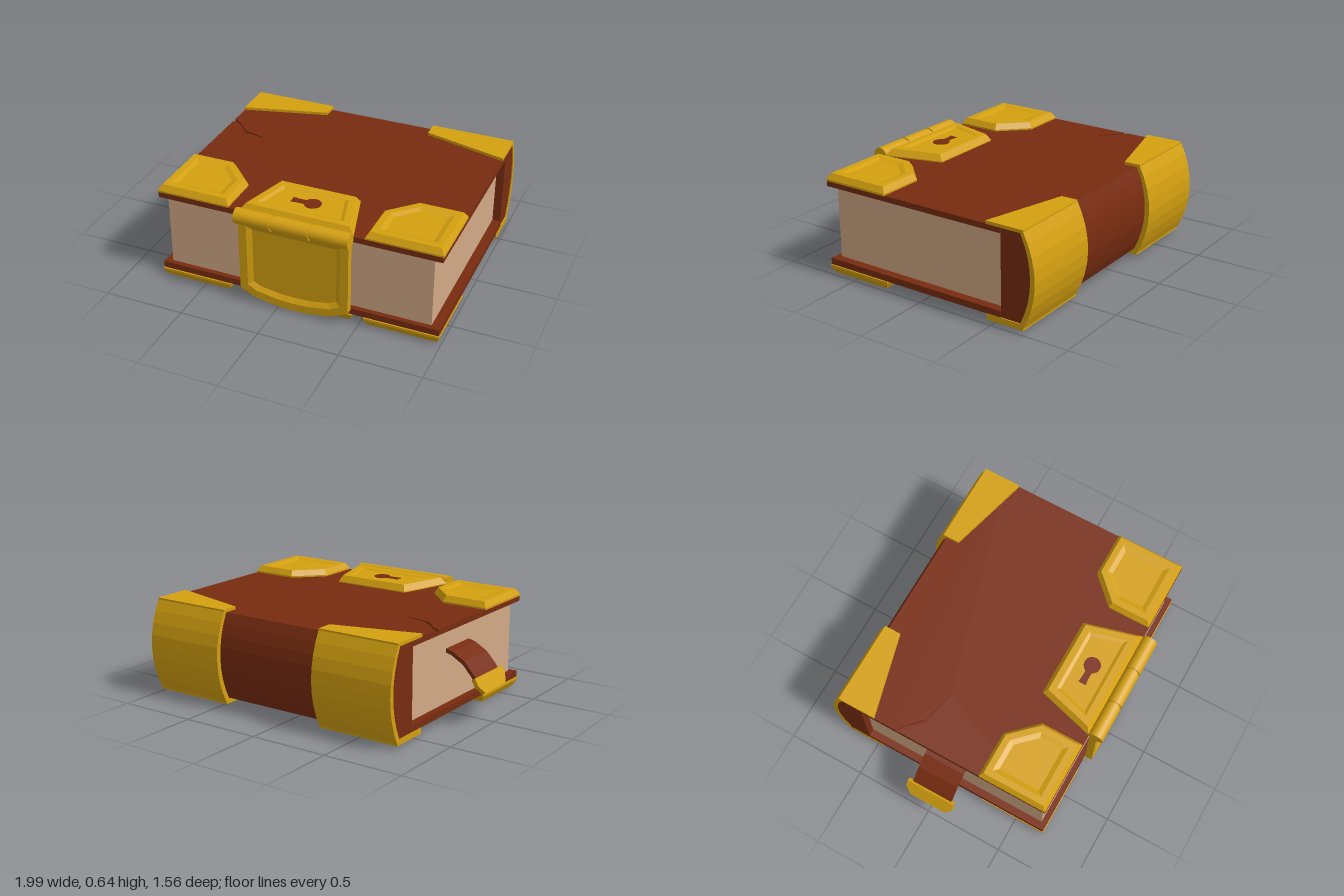
import * as THREE from 'three';

const mat = (name, color) => {
  const m = new THREE.MeshStandardMaterial({ color });
  m.name = name;
  return m;
};

export function createModel() {
  const book = new THREE.Group();
  book.name = 'book';
  const gold = mat('gold', 0xd4a010);
  const leather = mat('leather', 0x782c10);
  const paper = mat('paper', 0xd2a985);
  const X0 = -0.78, X1 = 0.985, MID = 0.1025;

  const add = (name, geo, material) => {
    const m = new THREE.Mesh(geo, material);
    m.name = name;
    book.add(m);
    return m;
  };
  const box = (name, material, x0, x1, y0, y1, z0, z1) =>
    add(name, new THREE.BoxGeometry(x1 - x0, y1 - y0, z1 - z0)
      .translate((x0 + x1) / 2, (y0 + y1) / 2, (z0 + z1) / 2), material);
  const extrude = (pts, depth) => new THREE.ExtrudeGeometry(
    new THREE.Shape(pts.map(p => new THREE.Vector2(...p))),
    { depth, bevelEnabled: false });
  // horizontal slab from [x, z] points
  const slab = (name, material, pts, y, h) =>
    add(name, extrude(pts.map(([x, z]) => [x, -z]), h).rotateX(-Math.PI / 2).translate(0, y, 0), material);
  // profile of [z, y] points swept along x
  const sweepX = (name, material, pts, x0, x1) =>
    add(name, extrude(pts.map(([z, y]) => [-z, y]), x1 - x0).rotateY(Math.PI / 2).translate(x0, 0, 0), material);

  // convex polygon moved inwards by d
  const inset = (pts, d) => pts.map((p, i) => {
    const n = pts.length, a = pts[(i + n - 1) % n], b = pts[(i + 1) % n];
    const e = new THREE.Vector2(p[0] - a[0], p[1] - a[1]).normalize();
    const f = new THREE.Vector2(b[0] - p[0], b[1] - p[1]).normalize();
    const k = d / (1 + e.dot(f));
    return [p[0] - (e.y + f.y) * k, p[1] + (e.x + f.x) * k];
  });
  // stepped plate: each level is [inset, height]
  const plateGeo = (outline, levels) => {
    const pts = THREE.ShapeUtils.area(outline.map(p => new THREE.Vector2(...p))) < 0
      ? outline.slice().reverse() : outline;
    const loops = levels.map(([d, h]) => inset(pts, d).map(p => [...p, h]));
    const n = pts.length, pos = [];
    const tri = (a, b, c) => pos.push(...a, ...b, ...c);
    for (let l = 0; l + 1 < loops.length; l++) {
      for (let i = 0; i < n; i++) {
        const j = (i + 1) % n, A = loops[l], B = loops[l + 1];
        tri(A[i], A[j], B[j]);
        tri(A[i], B[j], B[i]);
      }
    }
    const first = loops[0], last = loops[loops.length - 1];
    for (let i = 1; i + 1 < n; i++) {
      tri(last[0], last[i], last[i + 1]);
      tri(first[0], first[i + 1], first[i]);
    }
    const g = new THREE.BufferGeometry();
    g.setAttribute('position', new THREE.Float32BufferAttribute(pos, 3));
    g.computeVertexNormals();
    return g;
  };

  // pages and covers
  box('pages', paper, -0.735, 0.93, 0.1, 0.57, -0.56, 0.658);
  box('bottomCover', leather, X0, X1, 0.065, 0.105, -0.555, 0.69);
  box('topCover', leather, X0, X1, 0.565, 0.585, -0.555, 0.69);
  // upper leather layer with a torn notch on one side
  slab('topCoverLeather', leather, [
    [X0, 0.69], [X1, 0.69], [X1, -0.555], [X0, -0.555], [X0, -0.315],
    [-0.73, -0.285], [-0.64, -0.195], [-0.43, -0.14], [-0.65, -0.178], [-0.73, -0.26], [X0, -0.29],
  ], 0.585, 0.015);

  // rounded spine
  const arc = (z, bulge, y0, y1) => Array.from({ length: 9 }, (_, i) => {
    const t = i / 4 - 1;
    return [z - bulge * (1 - t * t), y0 + (y1 - y0) * i / 8];
  });
  const spineArc = arc(-0.685, 0.065, 0.065, 0.6);
  sweepX('spine', leather, [[-0.555, 0.6], [-0.555, 0.065], ...spineArc], X0, X1 - 0.005);

  // gold spine bands with slanted flaps on both covers
  const shell = [...arc(-0.7, 0.08, 0.028, 0.618), ...spineArc.slice().reverse()];
  for (const s of [-1, 1]) {
    const outer = MID + s * 0.884, inner = MID + s * 0.35;
    sweepX('spineBand', gold, shell, Math.min(outer, inner), Math.max(outer, inner));
    const flap = [[outer, -0.705], [outer, -0.46], [inner, -0.6], [inner, -0.705]];
    slab('topBandFlap', gold, flap, 0.598, 0.02);
    slab('bottomBandFlap', gold, flap, 0.028, 0.038);
  }

  // corner guards and clasp plates, top and bottom
  const coverPlate = (name, pts, levels) => {
    add('top' + name, plateGeo(pts.map(([x, z]) => [x, -z]), levels)
      .rotateX(-Math.PI / 2).translate(0, 0.598, 0), gold);
    add('bottom' + name, plateGeo(pts, levels).rotateX(Math.PI / 2)
      .scale(1, 1.15, 1).translate(0, 0.062, 0.005), gold);
  };
  const corner = [[0.886, 0.25], [0.59, 0.25], [0.424, 0.42], [0.424, 0.69], [0.886, 0.69]];
  for (const s of [-1, 1]) {
    coverPlate('CornerGuard', corner.map(([x, z]) => [MID + s * x, z]),
      [[0, 0], [0, 0.012], [0.022, 0.047], [0.06, 0.047], [0.09, 0.036]]);
  }
  coverPlate('ClaspPlate', [[-0.25, 0.69], [0.46, 0.69], [0.36, 0.33], [-0.15, 0.33]],
    [[0, 0], [0, 0.008], [0.025, 0.047], [0.065, 0.047], [0.085, 0.037]]);

  // keyhole
  const keyhole = Array.from({ length: 15 }, (_, i) => {
    const a = Math.PI + 0.4 + i / 14 * (Math.PI * 2 - 0.8);
    return [0.135 + 0.052 * Math.cos(a), 0.51 + 0.052 * Math.sin(a)];
  });
  slab('keyhole', leather, [...keyhole, [0.04, 0.53], [0.005, 0.535], [0.005, 0.485], [0.04, 0.49]], 0.634, 0.004);

  // hinge barrel in three knuckles around a pin
  const barrel = (name, r, x0, x1) => add(name, new THREE.CylinderGeometry(r, r, x1 - x0, 20)
    .rotateZ(Math.PI / 2).translate((x0 + x1) / 2, 0.597, 0.735), gold);
  barrel('hingePin', 0.04, -0.24, 0.45);
  for (const [a, b] of [[-0.247, -0.018], [-0.005, 0.22], [0.233, 0.46]]) barrel('hingeKnuckle', 0.048, a, b);

  // hanging clasp with a recessed panel
  const clasp = [[-0.235, 0.59], [-0.235, 0.1], [-0.14, 0.05], [0.0, 0.026], [0.105, 0.022],
    [0.21, 0.026], [0.35, 0.05], [0.45, 0.1], [0.45, 0.59]];
  add('claspFlap', plateGeo(clasp, [[0, 0], [0, 0.045], [0.05, 0.045], [0.08, 0.025]])
    .translate(0, 0, 0.695), gold);

  // ribbon bookmark
  const ribbon = [[-0.7, 0.45], [-0.78, 0.43], [-0.86, 0.385], [-0.92, 0.32], [-0.955, 0.27]];
  const under = ribbon.map(([x, y]) => [x + 0.012, y - 0.02]).reverse();
  add('bookmarkRibbon', extrude([...ribbon, ...under], 0.265).translate(0, 0, -0.125), leather);

  // gold ribbon tip
  const tip = extrude([[-0.155, 0], [0.165, 0], [0.165, 0.05], [0.125, 0.1], [-0.115, 0.1], [-0.155, 0.05]], 0.026);
  tip.applyMatrix4(new THREE.Matrix4().makeBasis(
    new THREE.Vector3(0, 0, 1), new THREE.Vector3(-0.486, -0.874, 0), new THREE.Vector3(0.874, -0.486, 0)));
  add('bookmarkTip', tip.translate(-0.95, 0.305, 0), gold);

  return book;
}
